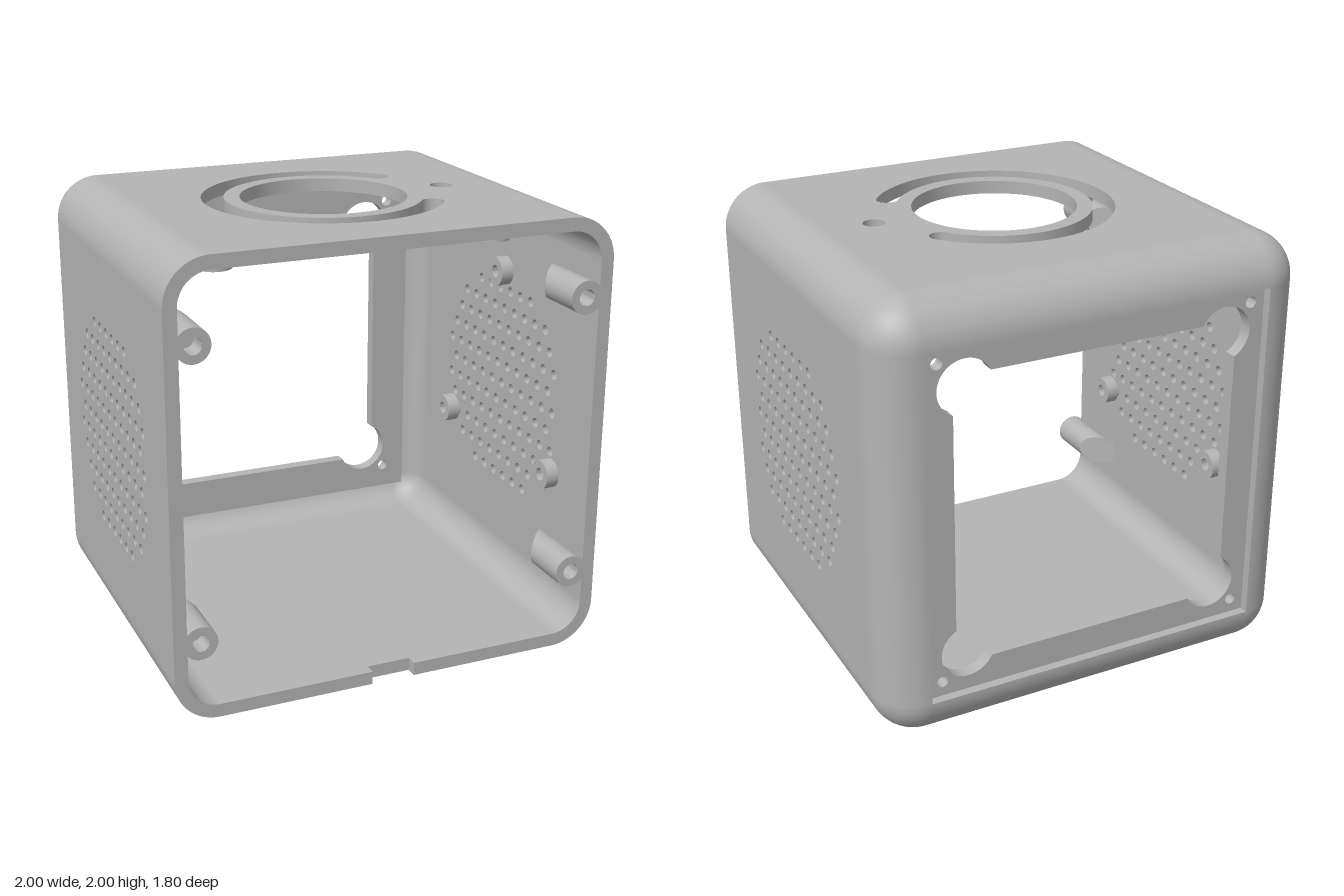
import * as THREE from 'three';
import { toCreasedNormals } from 'three/addons/utils/BufferGeometryUtils.js';

const WALL = 0.06, R = 0.2, FRONT = 0.9, REAR = -0.7, FLAT = 0.8;
const Q = Math.PI / 2;

export function createModel() {
  const model = new THREE.Group();
  const grey = new THREE.MeshStandardMaterial({ color: 0xb4b4b4, side: THREE.DoubleSide });
  grey.name = 'grey plastic';

  const add = (name, geometry, x, y, z) => {
    const mesh = new THREE.Mesh(geometry, grey);
    mesh.name = name;
    mesh.position.set(x, y, z);
    model.add(mesh);
  };
  const extrude = (shape, depth, curveSegments = 16) =>
    toCreasedNormals(new THREE.ExtrudeGeometry(shape, { depth, bevelEnabled: false, curveSegments }), 0.6);
  const polygon = (pts) => new THREE.Shape(pts.map(([x, y]) => new THREE.Vector2(x, y)));
  const rect = (x0, y0, x1, y1) => polygon([[x0, y0], [x1, y0], [x1, y1], [x0, y1]]);
  const circle = (x, y, r) => new THREE.Path().absarc(x, y, r, 0, Math.PI * 2, false);

  // Side walls with a staggered round grille: [start step, hole count] per row
  const rows = [[2.5, 6], [1, 9], [0.5, 10], [0, 11], [0.5, 11], [0, 11], [0.5, 11], [0, 11], [0.5, 10], [1, 9], [2.5, 6]];
  const side = rect(-FRONT, R, -REAR, 2 - R);
  rows.forEach(([start, count], row) => {
    for (let i = 0; i < count; i++) {
      side.holes.push(circle(-0.57 + 0.094 * (start + i), 1.469 - 0.0936 * row, 0.0235));
    }
  });
  const sideGeo = extrude(side, WALL, 8).rotateY(Q);
  add('leftWall', sideGeo, 1 - WALL, 0, 0);
  add('rightWall', sideGeo, -1, 0, 0);

  // Top wall: round opening, C-shaped slot and a small hole
  const top = rect(-FLAT, REAR, FLAT, FRONT);
  const cz = 0.1, a = 0.63, mid = 0.49, half = 0.05;
  const slot = new THREE.Path();
  slot.absarc(0, cz, mid + half, a, 2 * Math.PI - a, false);
  slot.absarc(mid * Math.cos(a), cz - mid * Math.sin(a), half, -a, Math.PI - a, false);
  slot.absarc(0, cz, mid - half, 2 * Math.PI - a, a, true);
  slot.absarc(mid * Math.cos(a), cz + mid * Math.sin(a), half, a + Math.PI, a + 2 * Math.PI, false);
  top.holes.push(circle(0, cz, 0.37), slot, circle(0.58, cz, 0.05));
  add('topWall', extrude(top, WALL, 36).rotateX(Q), 0, 2, 0);

  // Bottom wall with a cable notch in the front edge
  const bottom = polygon([[-FLAT, REAR], [FLAT, REAR], [FLAT, FRONT], [0.1, FRONT], [0.1, FRONT - 0.05],
    [-0.1, FRONT - 0.05], [-0.1, FRONT], [-FLAT, FRONT]]);
  add('bottomWall', extrude(bottom, WALL).rotateX(Q), 0, WALL, 0);

  // Rounded edges: quarter rings
  const edge = (start, length) => {
    const s = new THREE.Shape();
    s.absarc(0, 0, R, start, start + Q, false);
    s.absarc(0, 0, R - WALL, start + Q, start, true);
    return extrude(s, length);
  };
  [[1, 1], [-1, 1], [-1, -1], [1, -1]].forEach(([sx, sy], i) => {
    add('longEdge', edge(i * Q, FRONT - REAR), sx * FLAT, 1 + sy * FLAT, REAR);

    // Rounded rear corners: outer and inner sphere octants
    [R, R - WALL].forEach((r, inner) => {
      const g = new THREE.SphereGeometry(r, 16, 16, sx > 0 ? Math.PI : 1.5 * Math.PI, Q, sy > 0 ? 0 : Q, Q);
      add(inner ? 'innerCorner' : 'outerCorner', g, sx * FLAT, 1 + sy * FLAT, REAR);
    });
  });
  add('rearTopEdge', edge(0, 2 * FLAT).rotateY(Q), -FLAT, 2 - R, REAR);
  add('rearBottomEdge', edge(-Q, 2 * FLAT).rotateY(Q), -FLAT, R, REAR);
  add('rearLeftEdge', edge(0, 2 * FLAT).rotateX(-Q), FLAT, R, REAR);
  add('rearRightEdge', edge(Q, 2 * FLAT).rotateX(-Q), -FLAT, R, REAR);

  // Recessed rear frame: window with round corner reliefs and screw holes
  const frame = rect(-0.85, -0.85, 0.85, 0.85);
  const windowHole = new THREE.Path();
  [[1, 1], [-1, 1], [-1, -1], [1, -1]].forEach(([sx, sy], i) => {
    windowHole.absarc(sx * 0.61, sy * 0.61, 0.125, -1.115 + i * Q, 2.686 + i * Q, false);
    frame.holes.push(circle(sx * 0.733, sy * 0.733, 0.026));
  });
  windowHole.closePath();
  frame.holes.push(windowHole);
  add('rearFrame', extrude(frame, 0.06, 24), 0, 1, -0.86);

  // Hollow screw bosses, axis along y from the base
  const boss = (r, hole, length, floor) => new THREE.LatheGeometry(
    [[0, 0], [r, 0], [r, length], [hole, length], [hole, floor], [0, floor]].map((p) => new THREE.Vector2(...p)), 32);

  for (const sx of [1, -1]) {
    // Front cover bosses with slanted rear ends
    for (const y of [0.36, 1.645]) {
      const g = boss(0.075, 0.037, 0.3, 0.2).rotateX(Q);
      const p = g.attributes.position;
      for (let i = 0; i < p.count; i++) {
        if (p.getZ(i) < 0.01) p.setZ(i, p.getZ(i) - sx * p.getX(i));
      }
      add('coverBoss', toCreasedNormals(g, 0.6), sx * 0.88, y, 0.6);
    }
    // Three bosses around each grille
    for (const [y, z] of [[1.565, 0.1], [0.7175, 0.59], [0.7175, -0.39]]) {
      add('grilleBoss', toCreasedNormals(boss(0.068, 0.03, 0.07, 0.01), 0.6).rotateZ(sx * Q), sx * 0.95, y, z);
    }
    // Bosses hanging from the top wall
    for (const z of [0.48, -0.56]) {
      add('topBoss', toCreasedNormals(boss(0.075, 0.03, 0.12, 0.01), 0.6).rotateX(Math.PI), sx * 0.645, 1.95, z);
    }
  }
  return model;
}
